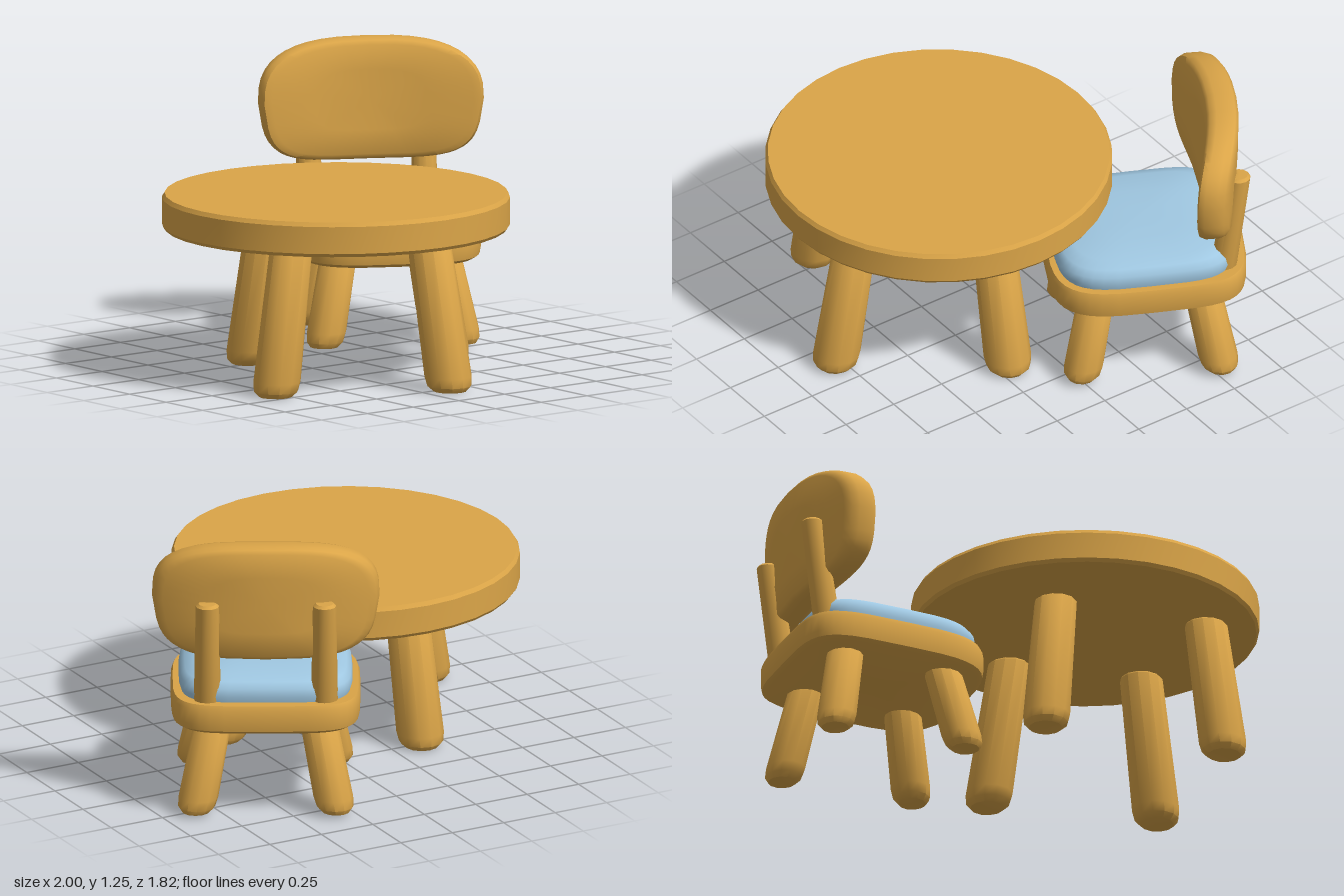
import * as THREE from 'three';
import { toCreasedNormals } from 'three/addons/utils/BufferGeometryUtils.js';

const wood = new THREE.MeshStandardMaterial({ name: 'honeyWood', color: 0xdba548 });
const fabric = new THREE.MeshStandardMaterial({ name: 'paleBlueFabric', color: 0xa0c8e2 });

// Rounded outline: superellipse with its own exponent on the -z and +z halves
const outline = (hx, hz, nNeg, nPos = nNeg) => (t) => {
  const c = Math.cos(t), s = Math.sin(t), e = 2 / (s < 0 ? nNeg : nPos);
  return [hx * Math.sign(c) * Math.abs(c) ** e, hz * Math.sign(s) * Math.abs(s) ** e];
};

// Closed solid from rings: each profile entry is [scale of the outline, height], bottom to top
function loft(shape, profile, sides, crease = 0.7, move = null) {
  const pos = [], index = [];
  for (const [k, h] of profile) {
    for (let j = 0; j < sides; j++) {
      const [x, z] = shape((j / sides) * Math.PI * 2);
      pos.push(x * k, h, z * k);
    }
  }
  for (let i = 0; i < profile.length - 1; i++) {
    for (let j = 0; j < sides; j++) {
      const a = i * sides + j, b = i * sides + ((j + 1) % sides), c = b + sides, d = a + sides;
      if (profile[i][0] > 0) index.push(a, d, b);
      if (profile[i + 1][0] > 0) index.push(b, d, c);
    }
  }
  const geo = new THREE.BufferGeometry();
  geo.setAttribute('position', new THREE.Float32BufferAttribute(pos, 3));
  geo.setIndex(index);
  if (move) {
    const p = geo.attributes.position, v = new THREE.Vector3();
    for (let i = 0; i < p.count; i++) {
      v.fromBufferAttribute(p, i);
      move(v);
      p.setXYZ(i, v.x, v.y, v.z);
    }
  }
  return toCreasedNormals(geo, crease);
}

function add(parent, name, geo, material) {
  const mesh = new THREE.Mesh(geo, material);
  mesh.name = name;
  parent.add(mesh);
  return mesh;
}

// Leaning round post from foot to top, with a chamfered foot
function post(parent, name, foot, top, r0, r1, chamfer = 0.045) {
  const height = top[1] - foot[1];
  const profile = [[0, 0], [0.7 * r0, 0], [0.93 * r0, chamfer * 0.5], [r0, chamfer * 1.4],
    [r1, height - chamfer * 0.6], [r1 * 0.75, height], [0, height]];
  const geo = loft(outline(1, 1, 2), profile, 12, 0.75, (v) => {
    const k = v.y / height;
    v.x += foot[0] + (top[0] - foot[0]) * k;
    v.z += foot[2] + (top[2] - foot[2]) * k;
    v.y += foot[1];
  });
  return add(parent, name, geo, wood);
}

function makeTable() {
  const table = new THREE.Group();
  table.name = 'table';
  const top = add(table, 'tableTop', loft(outline(0.745, 0.74, 2),
    [[0, 0.64], [0.985, 0.64], [1, 0.655], [1, 0.772], [0.985, 0.79], [0, 0.79]], 36, 0.5), wood);
  top.position.set(-0.25, 0, 0.16);
  // [foot x, foot z, top x, top z]
  const legs = [[0.325, 0.2, 0.2, 0.2], [-0.13, 0.79, -0.145, 0.66],
    [-0.797, 0.43, -0.7, 0.42], [-0.385, -0.27, -0.36, -0.17]];
  for (const [fx, fz, tx, tz] of legs) {
    post(table, 'tableLeg', [fx, 0.005, fz], [tx, 0.66, tz], 0.102, 0.092);
  }
  return table;
}

function makeChair() {
  const chair = new THREE.Group();
  chair.name = 'chair';
  const tilt = (v) => { v.y -= 0.04 * v.z; };

  // Seat board and domed cushion
  add(chair, 'seat', loft(outline(0.405, 0.425, 4.5, 3.6),
    [[0, 0.395], [0.94, 0.395], [0.99, 0.41], [1, 0.435], [1, 0.505], [0.98, 0.525], [0, 0.525]],
    40, 0.7, tilt), wood);
  const cushion = add(chair, 'cushion', loft(outline(0.372, 0.385, 4.5, 3.6),
    [[0, 0.51], [0.97, 0.51], [1, 0.55], [0.985, 0.585], [0.93, 0.612], [0.8, 0.628], [0.45, 0.64], [0, 0.643]],
    40, 1.2, tilt), fabric);
  cushion.position.z = 0.012;

  // Curved backrest, wrapped around the sitter
  add(chair, 'backrest', loft(outline(0.485, 0.26, 2.8, 4.2),
    [[0, -0.07], [0.5, -0.07], [0.91, -0.066], [0.975, -0.052], [1, -0.025],
      [1, 0.03], [0.97, 0.058], [0.9, 0.07], [0.5, 0.07], [0, 0.07]],
    44, 0.8, (v) => {
      const depth = v.y, up = -v.z;
      v.x *= up < 0 ? 1 + 0.3 * up : 1;
      v.y = 0.99 + up;
      v.z = -0.325 + depth + 0.38 * v.x * v.x - 0.05 * up;
    }), wood);

  for (const s of [-1, 1]) {
    post(chair, 'backPost', [s * 0.25, 0.48, -0.31], [s * 0.25, 1.0, -0.385], 0.058, 0.05, 0.02);
    post(chair, 'frontLeg', [s * 0.3, 0.025, 0.3], [s * 0.22, 0.43, 0.22], 0.085, 0.08);
    post(chair, 'backLeg', [s * 0.3, 0.02, -0.3], [s * 0.22, 0.43, -0.22], 0.085, 0.08);
  }
  chair.position.set(0.45, 0, -0.41);
  chair.rotation.y = -0.494;
  return chair;
}

export function createModel() {
  const model = new THREE.Group();
  model.name = 'tableAndChair';
  model.add(makeTable(), makeChair());
  return model;
}
